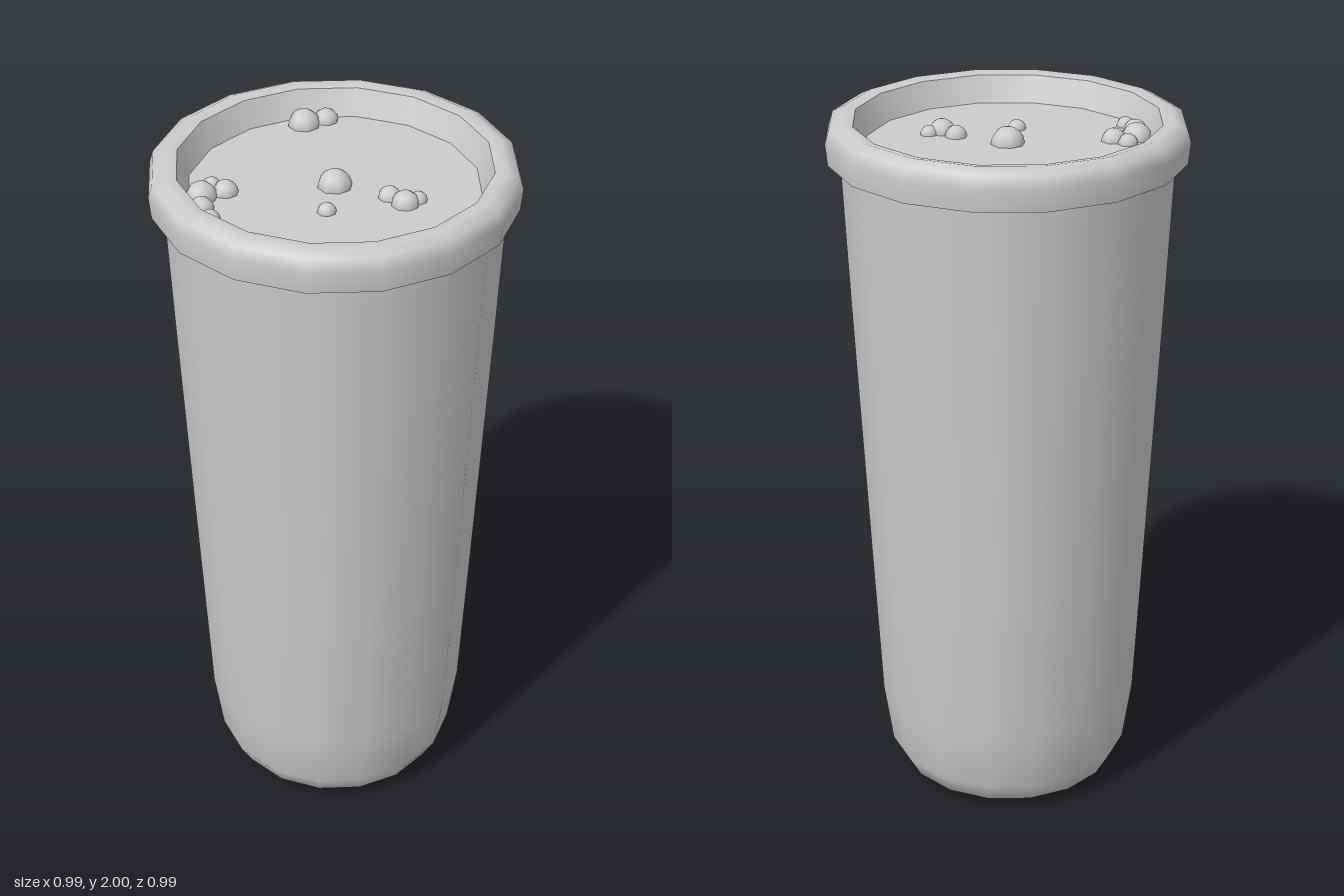
import * as THREE from 'three';

const SIDES = 16;
const LIQUID_Y = 1.92;

export function createModel() {
  const grey = new THREE.MeshStandardMaterial({ color: 0xcccccc });
  grey.name = 'plainGrey';
  const cup = new THREE.Group();
  cup.name = 'cup';

  const add = (name, geometry, parent = cup) => {
    const mesh = new THREE.Mesh(geometry, grey);
    mesh.name = name;
    parent.add(mesh);
    return mesh;
  };
  // Each profile is smooth; separate profiles meet in sharp edges
  const lathe = (name, profile) =>
    add(name, new THREE.LatheGeometry(profile.map(([r, y]) => new THREE.Vector2(r, y)), SIDES));

  // Tapered body with a rounded foot
  lathe('body', [[0.25, 0], [0.313, 0.025], [0.35, 0.09], [0.376, 0.27],
    [0.398, 0.7], [0.418, 1.1], [0.438, 1.5], [0.456, 1.89]]);
  const base = add('base', new THREE.CircleGeometry(0.25, SIDES));
  base.rotation.x = Math.PI / 2;

  // Rolled rim: underside, rounded outside and sloping inner wall
  lathe('rimUnderside', [[0.455, 1.89], [0.49, 1.89]]).geometry.scale(1, 1, 1);
  const underside = cup.getObjectByName('rimUnderside');
  underside.geometry.dispose();
  underside.geometry = new THREE.RingGeometry(0.45, 0.49, SIDES);
  underside.rotation.x = Math.PI / 2;
  underside.position.y = 1.89;
  lathe('rim', [[0.49, 1.89], [0.496, 1.95], [0.485, 1.985], [0.453, 2], [0.42, 1.993]]);
  lathe('innerWall', [[0.42, 1.993], [0.39, LIQUID_Y]]);

  // Drink surface
  const liquid = add('liquid', new THREE.CircleGeometry(0.392, SIDES));
  liquid.rotation.x = -Math.PI / 2;
  liquid.position.y = LIQUID_Y;

  // Half-sunk bubbles: x, z, radius
  const bubbles = new THREE.Group();
  bubbles.name = 'bubbles';
  cup.add(bubbles);
  const ball = new THREE.SphereGeometry(1, 8, 8);
  [[0, 0, 0.047], [0, -0.35, 0.045], [0.065, -0.36, 0.034],
    [-0.352, -0.027, 0.043], [-0.286, -0.035, 0.035], [-0.316, -0.071, 0.028],
    [-0.364, 0.035, 0.034], [-0.352, 0.09, 0.026], [-0.053, 0.127, 0.026],
    [0.124, 0.092, 0.031], [0.154, 0.138, 0.038], [0.192, 0.127, 0.025],
  ].forEach(([x, z, r]) => {
    const bubble = add('bubble', ball, bubbles);
    bubble.position.set(x, LIQUID_Y, z);
    bubble.scale.setScalar(r);
  });
  return cup;
}
